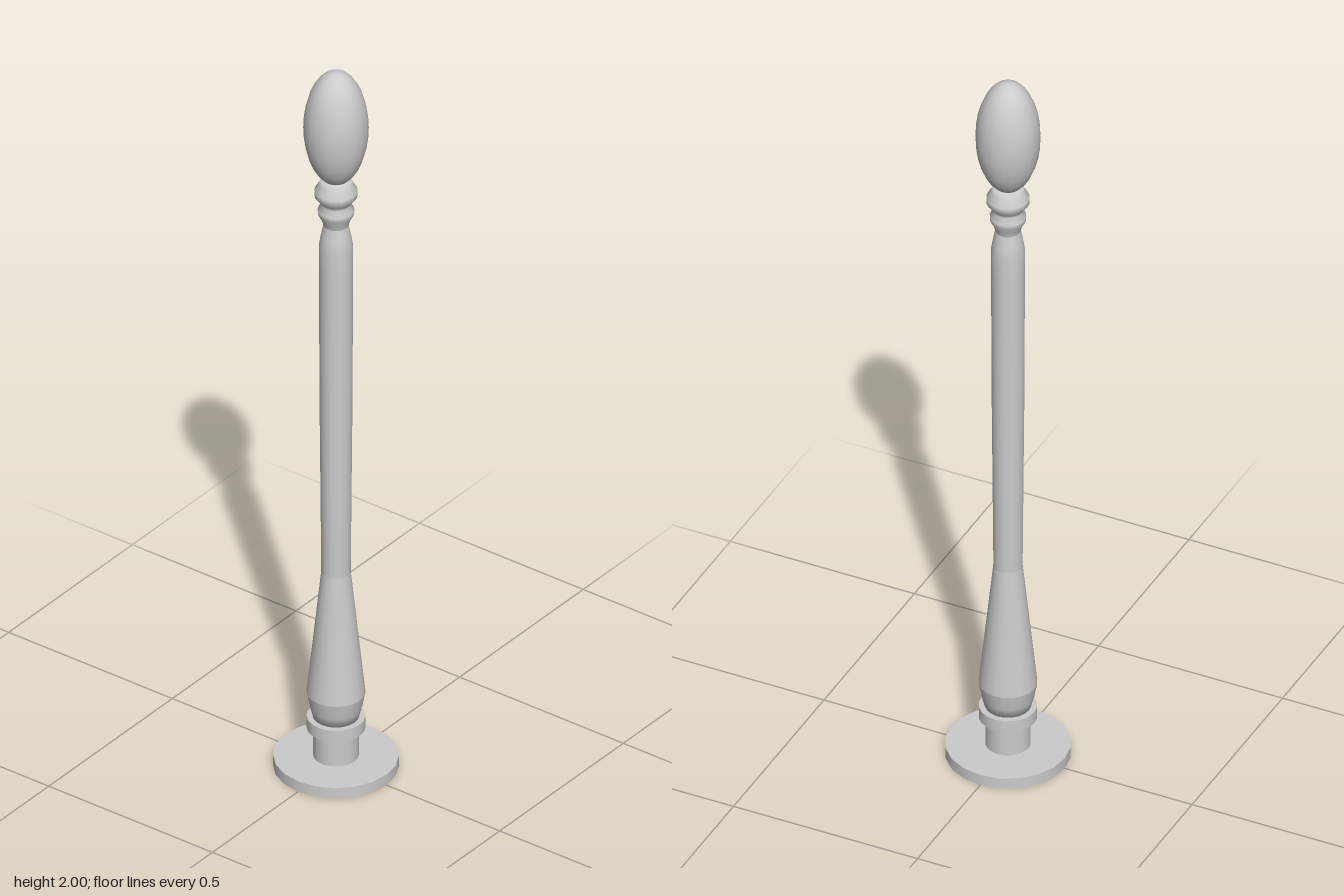
import * as THREE from 'three';

const SEGMENTS = 20;

export function createModel() {
  const group = new THREE.Group();
  const material = new THREE.MeshStandardMaterial({ color: 0xcccccc });

  function add(name, geometry, y = 0) {
    const mesh = new THREE.Mesh(geometry, material);
    mesh.name = name;
    mesh.position.y = y;
    group.add(mesh);
    return mesh;
  }
  const disc = (name, radius, bottom, top) =>
    add(name, new THREE.CylinderGeometry(radius, radius, top - bottom, SEGMENTS), (bottom + top) / 2);
  const turned = (name, profile) =>
    add(name, new THREE.LatheGeometry(profile.map(([r, y]) => new THREE.Vector2(r, y)), SEGMENTS));

  // Foot plate, stem and collar
  disc('basePlate', 0.154, 0, 0.03);
  disc('baseStem', 0.056, 0.03, 0.112);
  disc('collar', 0.072, 0.11, 0.143);

  // Flared lower part tapering into the shaft
  turned('flaredFoot', [[0, 0.14], [0.056, 0.14], [0.064, 0.17], [0.072, 0.212]]);
  turned('taper', [[0.072, 0.212], [0.036, 0.56]]);

  // Long shaft, slightly wider towards the top
  turned('shaft', [[0.036, 0.56], [0.038, 0.8], [0.04, 1.02], [0.041, 1.25], [0.042, 1.44]]);
  turned('shoulder', [[0.042, 1.44], [0.042, 1.5], [0.038, 1.525], [0.031, 1.56]]);

  // Two turned beads below the finial
  turned('beads', [
    [0.031, 1.56], [0.035, 1.575], [0.044, 1.592], [0.045, 1.604], [0.036, 1.62],
    [0.041, 1.63], [0.053, 1.645], [0.053, 1.659], [0.042, 1.677], [0.037, 1.692], [0, 1.695],
  ]);

  // Egg-shaped finial
  const finial = add('finial', new THREE.SphereGeometry(0.08, SEGMENTS, 16), 1.84);
  finial.scale.y = 2;

  return group;
}
